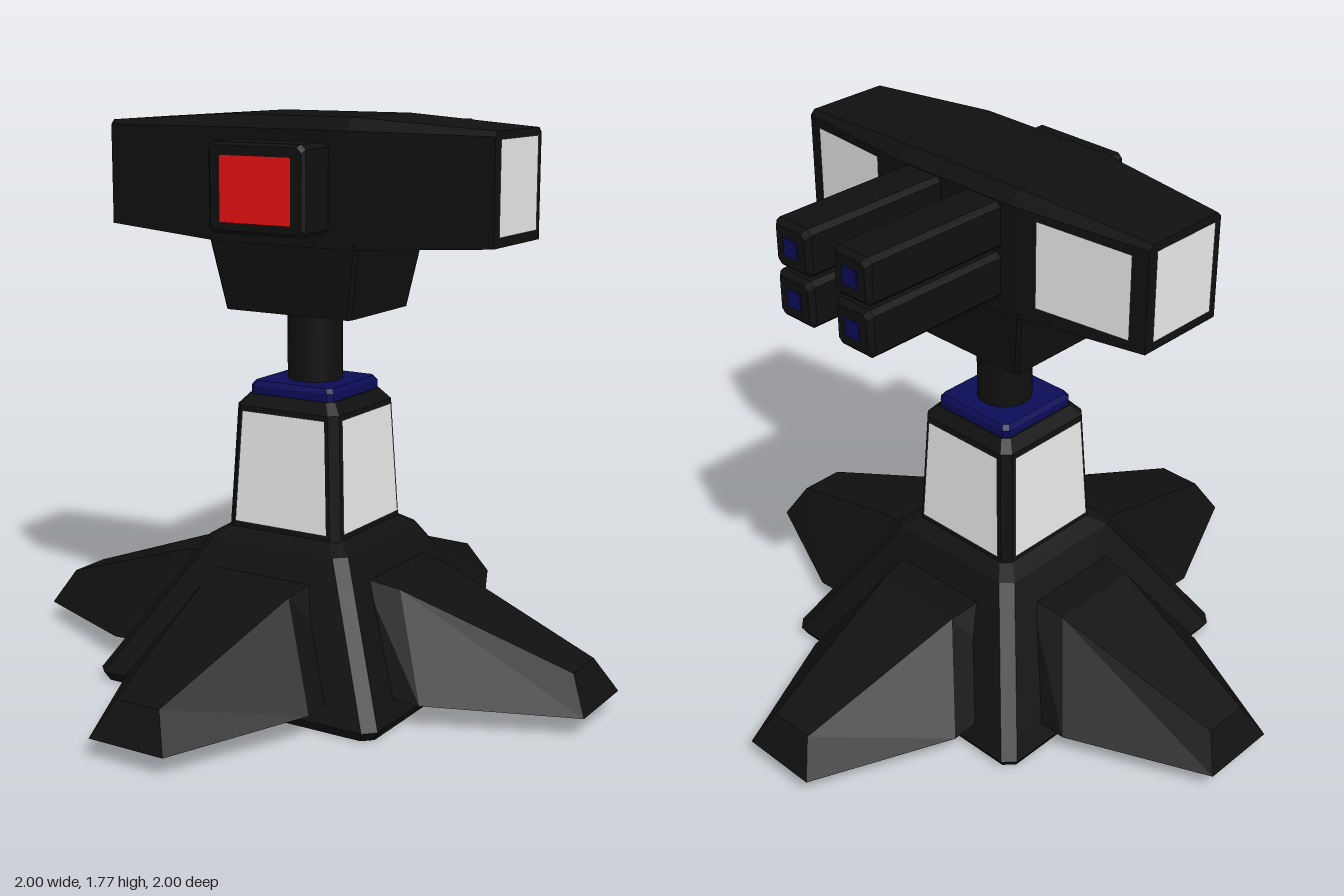
import * as THREE from 'three';

const mat = (name, color) => {
  const m = new THREE.MeshStandardMaterial({ color });
  m.name = name;
  return m;
};

// Flat-shaded skin through a list of rings, capped at both ends.
function loft(rings) {
  const n = rings[0].length, tris = [];
  for (let i = 0; i < rings.length - 1; i++) {
    for (let j = 0; j < n; j++) {
      const k = (j + 1) % n;
      const [a, b, c, d] = [rings[i][j], rings[i][k], rings[i + 1][k], rings[i + 1][j]];
      tris.push([a, b, c], [a, c, d]);
    }
  }
  const last = rings[rings.length - 1];
  for (let j = 1; j < n - 1; j++) {
    tris.push([rings[0][0], rings[0][j + 1], rings[0][j]], [last[0], last[j], last[j + 1]]);
  }
  // turn the faces outward if the rings ran the other way
  const v = (p) => new THREE.Vector3(...p);
  const volume = tris.reduce((s, [a, b, c]) => s + v(a).dot(v(b).cross(v(c))), 0);
  if (volume < 0) tris.forEach((t) => t.reverse());
  const g = new THREE.BufferGeometry();
  g.setAttribute('position', new THREE.Float32BufferAttribute(tris.flat(2), 3));
  g.computeVertexNormals();
  return g;
}

// Rectangle with cut corners, as [u, v] pairs.
const cutRect = (w, h, c) => [
  [w - c, h], [w, h - c], [w, c - h], [w - c, -h],
  [c - w, -h], [-w, c - h], [-w, h - c], [c - w, h],
];

// Block stacked up y from levels of [y, halfX, halfZ, corner cut].
const stack = (levels) =>
  loft(levels.map(([y, w, d, c]) => cutRect(w, d, c).map(([x, z]) => [x, y, z])));

// Thin flat four-cornered plate.
function plate(a, b, c, d) {
  const g = new THREE.BufferGeometry();
  g.setAttribute('position', new THREE.Float32BufferAttribute([a, b, c, a, c, d].flat(), 3));
  g.computeVertexNormals();
  return g;
}

export function createModel() {
  const black = mat('black', 0x101010);
  const white = mat('white', 0xf2f2f2);
  const red = mat('red', 0xf01010);
  const blue = mat('navy', 0x0c0c58);
  white.side = red.side = THREE.DoubleSide;

  const model = new THREE.Group();
  const add = (parent, name, geometry, material) => {
    const m = new THREE.Mesh(geometry, material);
    m.name = name;
    parent.add(m);
    return m;
  };

  // Base and tower
  add(model, 'base', stack([
    [0, 0.49, 0.49, 0.03], [0.03, 0.507, 0.507, 0.035],
    [0.45, 0.255, 0.255, 0.035], [0.485, 0.2, 0.2, 0.03],
  ]), black);
  add(model, 'tower', stack([
    [0.47, 0.205, 0.205, 0.025], [0.87, 0.185, 0.185, 0.025], [0.905, 0.155, 0.155, 0.02],
  ]), black);
  add(model, 'collar', stack([
    [0.9, 0.15, 0.15, 0.015], [0.93, 0.15, 0.15, 0.015], [0.945, 0.14, 0.14, 0.015],
  ]), blue);
  const column = add(model, 'column', new THREE.CylinderGeometry(0.087, 0.087, 0.26, 24), black);
  column.position.y = 1.06;

  // Four feet and four tower panels
  const footRing = (rb, yb, wb, rt, yt, wt) =>
    [[-wb, yb, rb], [wb, yb, rb], [wt, yt, rt], [-wt, yt, rt]];
  const footGeo = loft([
    footRing(0.25, 0.09, 0.33, 0.28, 0.375, 0.17),
    footRing(0.565, 0.075, 0.33, 0.4, 0.355, 0.155),
    footRing(1, 0.06, 0.13, 0.94, 0.17, 0.075),
  ]);
  const panelGeo = plate(
    [-0.168, 0.5, 0.208], [0.168, 0.5, 0.208], [0.15, 0.855, 0.19], [-0.15, 0.855, 0.19]);
  for (let i = 0; i < 4; i++) {
    add(model, 'foot', footGeo, black).rotation.y = i * Math.PI / 2;
    add(model, 'towerPanel', panelGeo, white).rotation.y = i * Math.PI / 2;
  }

  // Head
  const head = new THREE.Group();
  head.name = 'head';
  head.position.set(0.01, 0, 0.005);
  model.add(head);

  add(head, 'headMount', stack([
    [1.17, 0.225, 0.178, 0.01], [1.4, 0.267, 0.21, 0.01],
  ]), black);

  const headRing = (x, y0, y1, d, c) =>
    [[x, y0, -d], [x, y0, d], [x, y1 - c, d], [x, y1, d - c], [x, y1, c - d], [x, y1 - c, -d]];
  add(head, 'headBody', loft([
    headRing(-0.68, 1.41, 1.74, 0.152, 0.015), headRing(-0.23, 1.385, 1.77, 0.212, 0.038),
    headRing(0.23, 1.385, 1.77, 0.212, 0.038), headRing(0.68, 1.41, 1.74, 0.152, 0.015),
  ]), black);

  // Windows on the ends and on the slanted back faces
  const backZ = (x) => -(0.212 - (x - 0.23) * (0.06 / 0.45)) - 0.004;
  for (const s of [-1, 1]) {
    const x = s * 0.684;
    add(head, 'endWindow', plate(
      [x, 1.44, -0.124], [x, 1.44, 0.124], [x, 1.717, 0.124], [x, 1.717, -0.124]), white);
    const [a, b] = [0.32, 0.63];
    add(head, 'backWindow', plate(
      [s * a, 1.44, backZ(a)], [s * b, 1.44, backZ(b)],
      [s * b, 1.7, backZ(b)], [s * a, 1.71, backZ(a)]), white);
  }

  // Front eye
  const eye = add(head, 'eyeHousing', stack([
    [0.18, 0.17, 0.135, 0.015], [0.335, 0.17, 0.135, 0.015], [0.345, 0.16, 0.125, 0.015],
  ]), black);
  eye.rotation.x = Math.PI / 2;
  eye.position.y = 1.562;
  add(head, 'eye', plate(
    [-0.125, 1.46, 0.349], [0.125, 1.46, 0.349], [0.125, 1.66, 0.349], [-0.125, 1.66, 0.349]), red);

  // Four rear barrels with coloured muzzles
  const barrelGeo = stack([
    [0.15, 0.073, 0.073, 0.015], [0.695, 0.073, 0.073, 0.015], [0.71, 0.058, 0.058, 0.012],
  ]);
  const muzzleGeo = new THREE.BoxGeometry(0.055, 0.055, 0.008);
  for (const x of [-0.12, 0.12]) {
    for (const y of [1.5, 1.657]) {
      const barrel = add(head, 'barrel', barrelGeo, black);
      barrel.rotation.x = -Math.PI / 2;
      barrel.position.set(x, y, 0);
      add(head, 'muzzle', muzzleGeo, blue).position.set(x, y, -0.71);
    }
  }
  return model;
}
